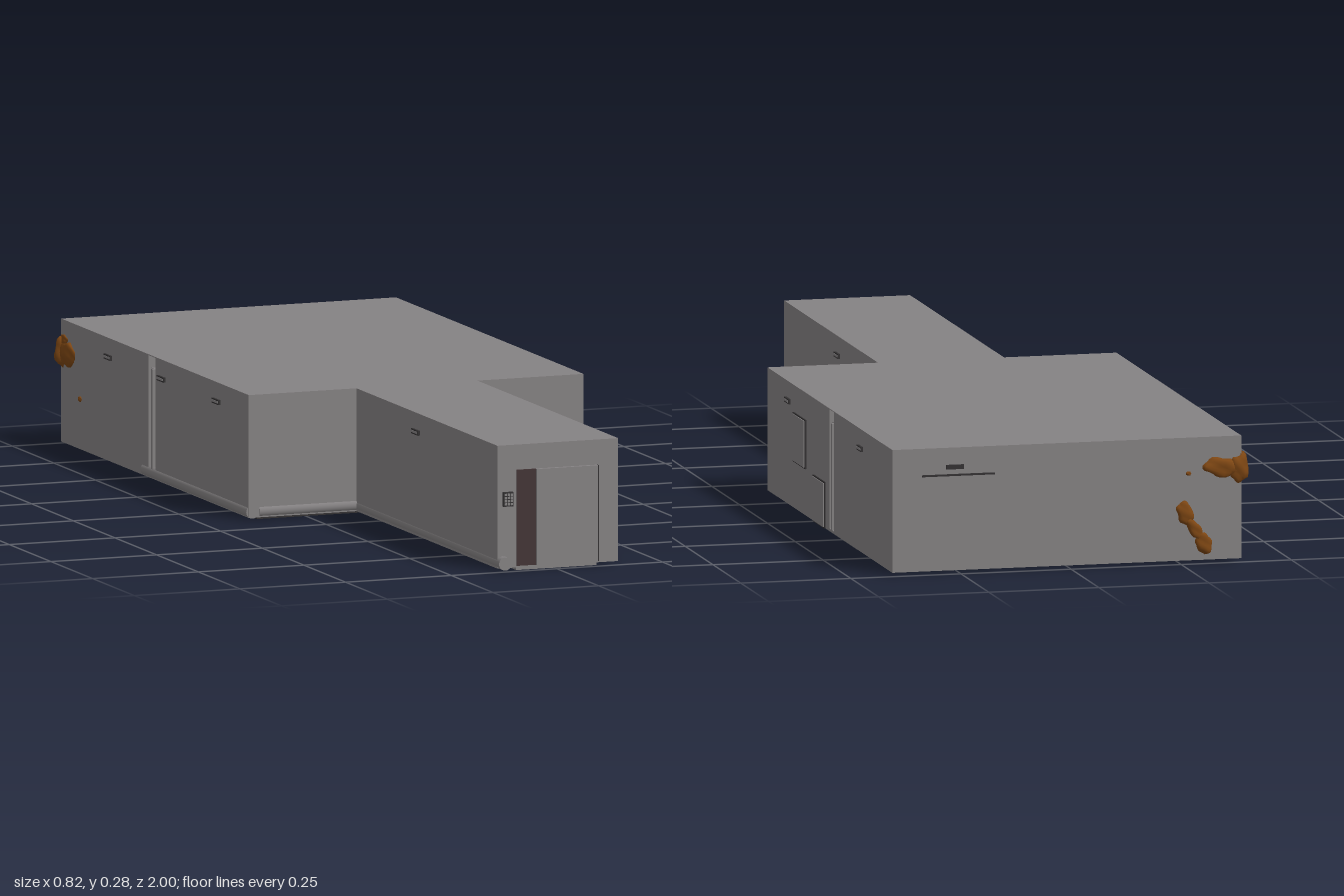
import * as THREE from 'three';

const paint = (name, color) => {
  const m = new THREE.MeshStandardMaterial({ color });
  m.name = name;
  return m;
};

export function createModel() {
  const root = new THREE.Group();
  root.name = 'bunkerRoom';
  const wall = paint('concreteGrey', 0x858283);
  const brown = paint('doorBrown', 0x443536);
  const dark = paint('darkTrim', 0x343233);
  const rust = paint('rust', 0x7d4613);

  const add = (name, geo, mat) => {
    const mesh = new THREE.Mesh(geo, mat);
    mesh.name = name;
    root.add(mesh);
    return mesh;
  };
  // Box given by its two extreme corners
  const box = (name, mat, x0, x1, y0, y1, z0, z1) => {
    const mesh = add(name, new THREE.BoxGeometry(x1 - x0, y1 - y0, z1 - z0), mat);
    mesh.position.set((x0 + x1) / 2, (y0 + y1) / 2, (z0 + z1) / 2);
    return mesh;
  };

  // Main hall in two halves, joined by a thin roof and a lower bulkhead in the gap
  const base = 0.006, top = 0.28;
  box('rearHall', wall, -0.39, 0.402, base, top, -0.985, -0.46);
  box('frontHall', wall, -0.39, 0.402, base, top, -0.42, 0.14);
  box('roofBridge', wall, -0.39, 0.402, 0.278, top, -0.46, -0.42);
  box('floorBridge', wall, -0.39, 0.402, base, 0.012, -0.46, -0.42);
  box('bulkhead', wall, -0.383, 0.395, 0.012, 0.25, -0.46, -0.42);
  for (const x of [-0.386, 0.398]) {
    box('bulkheadPost', wall, x - 0.005, x + 0.005, 0.012, 0.25, -0.445, -0.435);
  }

  // Corridor with its entrance
  box('corridor', wall, -0.135, 0.151, base, top, 0.139, 0.985);
  box('doorGap', brown, -0.09, -0.045, 0.01, 0.224, 0.985, 0.989);
  box('slidingDoor', wall, -0.045, 0.1, 0.01, 0.224, 0.985, 0.994);
  box('doorEdge', dark, 0.1, 0.102, 0.01, 0.224, 0.985, 0.993);

  // Keypad with a grid of keys
  box('keypad', dark, -0.123, -0.099, 0.144, 0.176, 0.985, 0.992);
  for (let r = 0; r < 4; r++) {
    for (let c = 0; c < 3; c++) {
      const x = -0.1205 + c * 0.007, y = 0.147 + r * 0.007;
      box('key', wall, x, x + 0.005, y, y + 0.005, 0.992, 0.994);
    }
  }

  // Half-buried pipes along the foot of the right-hand walls
  const pipe = (a, b) => {
    const from = new THREE.Vector3(...a), to = new THREE.Vector3(...b);
    const mesh = add('pipe', new THREE.CylinderGeometry(0.015, 0.015, from.distanceTo(to), 20), wall);
    mesh.position.copy(from).lerp(to, 0.5);
    mesh.quaternion.setFromUnitVectors(new THREE.Vector3(0, 1, 0), to.sub(from).normalize());
  };
  pipe([-0.122, 0.018, 0.13], [-0.122, 0.018, 1]);
  pipe([-0.365, 0.019, 0.129], [-0.122, 0.019, 0.129]);
  pipe([-0.379, 0.018, -0.5], [-0.379, 0.018, 0.135]);

  // Small lamps on the side walls
  const lamp = (x, z) => {
    box('lamp', dark, x - 0.005, x + 0.005, 0.232, 0.243, z - 0.02, z + 0.02);
    box('lampCover', wall, x - 0.006, x + 0.006, 0.235, 0.24, z - 0.017, z + 0.017);
  };
  for (const z of [-0.7, -0.05]) {
    lamp(-0.39, z);
    lamp(0.402, z);
  }
  lamp(-0.39, -0.38);
  lamp(-0.135, 0.5);
  lamp(0.151, 0.5);

  // Wall panel and hatch on the left wall, each with a dark border
  for (const [name, z0, z1, y0, y1] of [
    ['wallPanel', -0.21, -0.1, 0.11, 0.22],
    ['hatch', -0.385, -0.28, base, 0.11],
  ]) {
    box(name + 'Border', dark, 0.402, 0.405, y0, y1, z0, z1);
    box(name, wall, 0.402, 0.407, y0 + 0.003, y1 - 0.003, z0 + 0.003, z1 - 0.003);
  }

  // Rear wall rail and lamp
  box('rearRail', dark, 0.17, 0.335, 0.217, 0.221, -0.989, -0.985);
  box('rearLamp', dark, 0.24, 0.28, 0.232, 0.242, -0.989, -0.985);

  // Low ribs under the floor
  for (let i = 0; i < 4; i++) {
    const z = -0.3 + i * 0.12;
    box('floorRib', wall, 0.16, 0.38, 0.002, base, z, z + 0.006);
  }
  box('footStrip', dark, -0.37, -0.12, 0.002, base, 0.11, 0.138);
  box('threshold', wall, -0.09, 0.1, 0, base, 0.9, 0.984);

  // Lumpy rust growth at the rear right corner
  const blob = (x, y, z, sx, sy, sz, tilt = 0, seed = 0) => {
    const geo = new THREE.SphereGeometry(1, 18, 12);
    const p = geo.attributes.position, v = new THREE.Vector3();
    for (let i = 0; i < p.count; i++) {
      v.fromBufferAttribute(p, i);
      const k = 1 + 0.16 * Math.sin(4 * v.x + seed) * Math.cos(5 * v.y - seed) + 0.08 * Math.sin(7 * v.z);
      p.setXYZ(i, v.x * k * sx, v.y * k * sy, v.z * k * sz);
    }
    geo.computeVertexNormals();
    const mesh = add('rustGrowth', geo, rust);
    mesh.position.set(x, y, z);
    mesh.rotation.z = tilt;
  };
  blob(-0.385, 0.208, -0.978, 0.023, 0.034, 0.019, 0, 1);
  blob(-0.345, 0.212, -0.985, 0.042, 0.022, 0.012, 0.1, 2);
  blob(-0.39, 0.207, -0.94, 0.013, 0.027, 0.038, 0, 3);
  blob(-0.39, 0.236, -0.965, 0.007, 0.012, 0.02, 0, 1);
  blob(-0.262, 0.112, -0.985, 0.018, 0.027, 0.008, -0.4, 4);
  blob(-0.283, 0.077, -0.985, 0.013, 0.032, 0.009, -0.6, 5);
  blob(-0.304, 0.043, -0.985, 0.018, 0.026, 0.012, -0.3, 6);
  blob(-0.39, 0.118, -0.87, 0.005, 0.006, 0.008);
  blob(-0.27, 0.2, -0.985, 0.006, 0.005, 0.004);

  return root;
}
